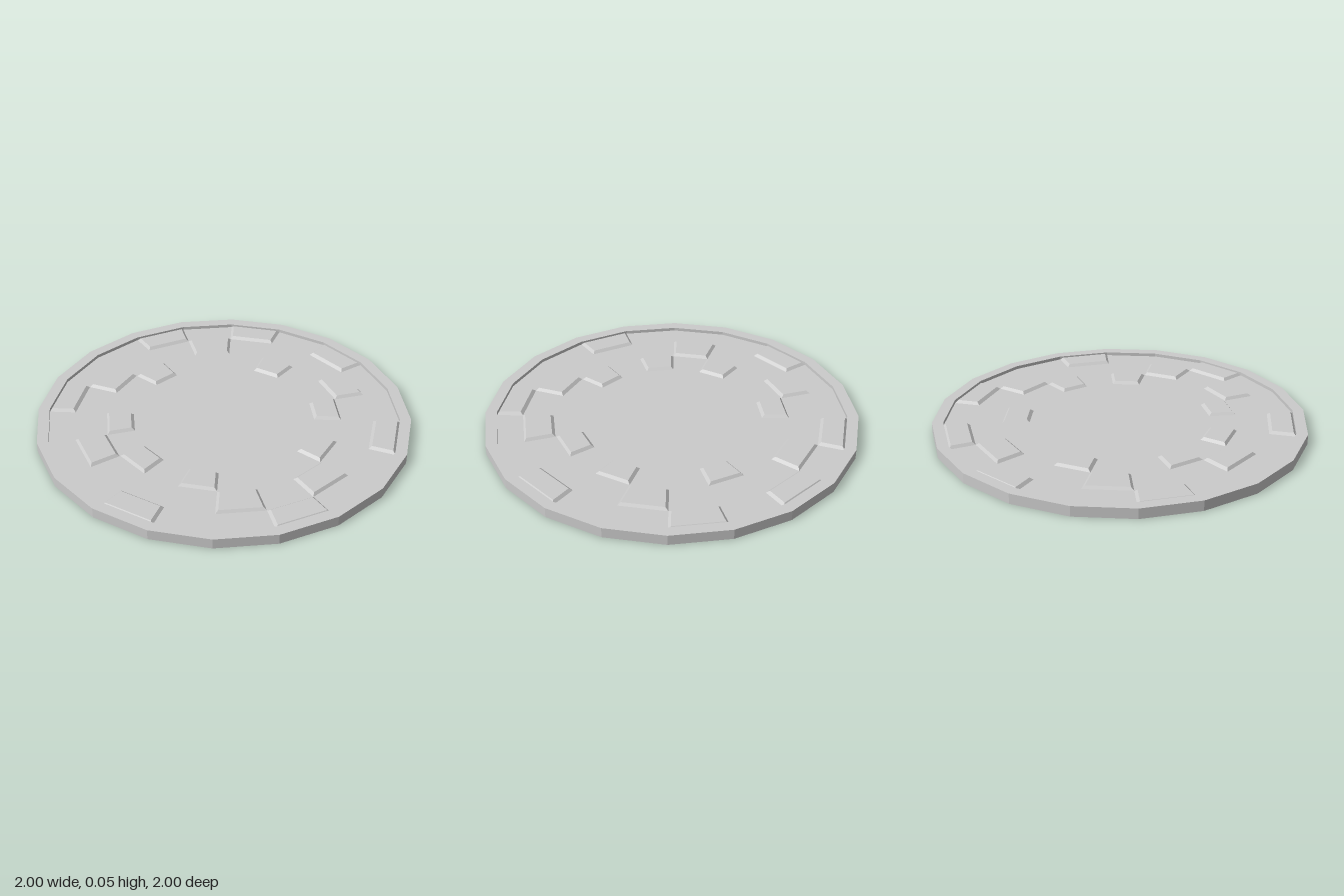
import * as THREE from 'three';

const SIDES = 20;
const STEP = (Math.PI * 2) / SIDES;
const FLOOR = 0.037;  // sunken floor inside the rim
const RIM = 0.055;
const RISE = 0.014;   // height of a stone above the floor
const BEVEL = 0.014;  // inset of a stone's top face

// Inner and outer radius of the three rings of stones
const RINGS = { A: [0.80, 0.94], B: [0.635, 0.80], C: [0.485, 0.63] };
// Ring used by the stone in each of the 20 sectors, from +x towards +z
const PATTERN = 'CBABCACBCABCABACABCA';

// Four corners of a ring sector, counter-clockwise from above, pulled in by inset
function corners(sector, [rIn, rOut], inset, y) {
  const point = (r, k, shift) => {
    const a = k * STEP;
    return [r * Math.cos(a) - shift * Math.sin(a), y, r * Math.sin(a) + shift * Math.cos(a)];
  };
  return [
    point(rIn + inset, sector, inset),
    point(rIn + inset, sector + 1, -inset),
    point(rOut - inset, sector + 1, -inset),
    point(rOut - inset, sector, inset),
  ];
}

// Raised stone with sloping sides
function stoneGeometry(sector, ring) {
  const points = [
    ...corners(sector, ring, 0, FLOOR),
    ...corners(sector, ring, BEVEL, FLOOR + RISE),
  ];
  const index = [4, 5, 6, 4, 6, 7];
  for (let i = 0; i < 4; i++) {
    const j = (i + 1) % 4;
    index.push(i, j, 4 + j, i, 4 + j, 4 + i);
  }
  const geometry = new THREE.BufferGeometry();
  geometry.setAttribute('position', new THREE.Float32BufferAttribute(points.flat(), 3));
  geometry.setIndex(index);
  const flat = geometry.toNonIndexed();
  flat.computeVertexNormals();
  return flat;
}

export function createModel() {
  const model = new THREE.Group();
  model.name = 'stonePlatform';
  const material = new THREE.MeshStandardMaterial({ color: 0xcccccc, flatShading: true });

  // Twenty-sided disc with a raised rim around a sunken floor
  const profile = [
    [0, 0], [1, 0], [1, RIM], [0.94, RIM], [0.94, FLOOR], [0, FLOOR],
  ].map(([r, y]) => new THREE.Vector2(r, y));
  const disc = new THREE.Mesh(new THREE.LatheGeometry(profile, SIDES), material);
  disc.name = 'disc';
  model.add(disc);

  // One raised stone per sector, scattered over the three rings
  const stones = new THREE.Group();
  stones.name = 'stones';
  [...PATTERN].forEach((ring, sector) => {
    const stone = new THREE.Mesh(stoneGeometry(sector, RINGS[ring]), material);
    stone.name = `stone${sector + 1}`;
    stones.add(stone);
  });
  model.add(stones);

  return model;
}
